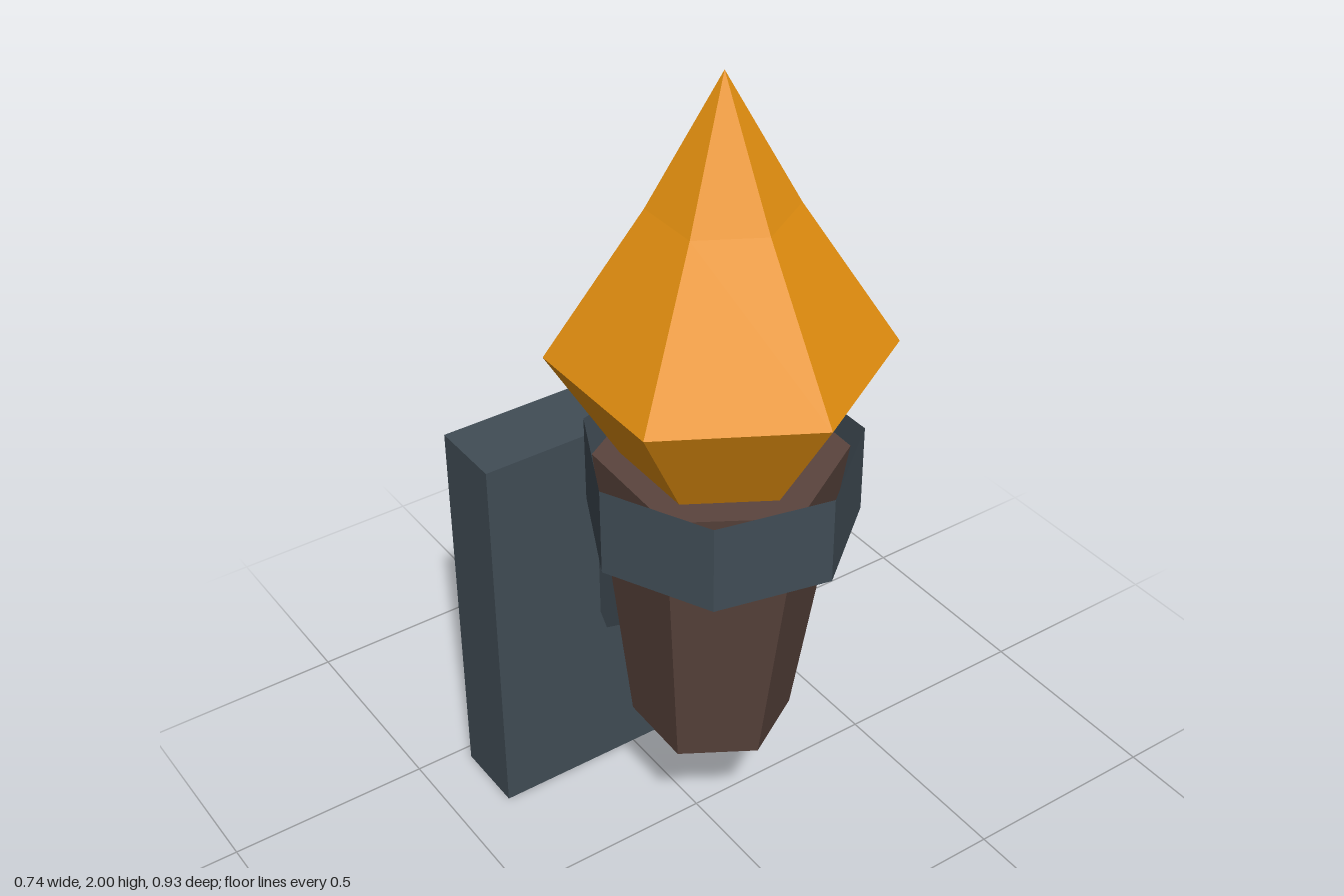
import * as THREE from 'three';

export function createModel() {
  const model = new THREE.Group();
  model.name = 'wallTorch';

  const material = (name, color, side = THREE.FrontSide) => {
    const m = new THREE.MeshStandardMaterial({ color, flatShading: true, side });
    m.name = name;
    return m;
  };
  const iron = material('iron', 0x414d56, THREE.DoubleSide);
  const wood = material('wood', 0x5a443d);
  const fire = material('fire', 0xe89210);

  const add = (name, geometry, mat, x, y, z, tilt = 0) => {
    const mesh = new THREE.Mesh(geometry, mat);
    mesh.name = name;
    mesh.position.set(x, y, z);
    mesh.rotation.x = tilt;
    model.add(mesh);
    return mesh;
  };

  const axisZ = 0.093;

  // Wall plate
  add('wallPlate', new THREE.BoxGeometry(0.74, 0.99, 0.185), iron, 0, 0.495, -0.3725);

  // Sloping arm from the plate up into the handle
  add('arm', new THREE.BoxGeometry(0.17, 0.165, 0.31), iron, 0, 0.594, -0.187, -THREE.MathUtils.degToRad(39.5));

  // Tapered six-sided handle, leaning slightly forward
  add('handle', new THREE.CylinderGeometry(0.277, 0.184, 0.748, 6), wood, 0, 0.748, 0.078, 0.045);

  // Open seven-sided collar
  add('collar', new THREE.CylinderGeometry(0.311, 0.311, 0.212, 7, 1, true, -Math.PI / 2), iron, 0, 1.037, axisZ + 0.002);

  // Six-sided flame with slightly hollow upper slopes
  const profile = [[0, 1.1], [0.2, 1.1], [0.37, 1.375], [0.157, 1.71], [0, 2]]
    .map(([r, y]) => new THREE.Vector2(r, y));
  add('flame', new THREE.LatheGeometry(profile, 6), fire, 0, 0, axisZ);

  return model;
}
